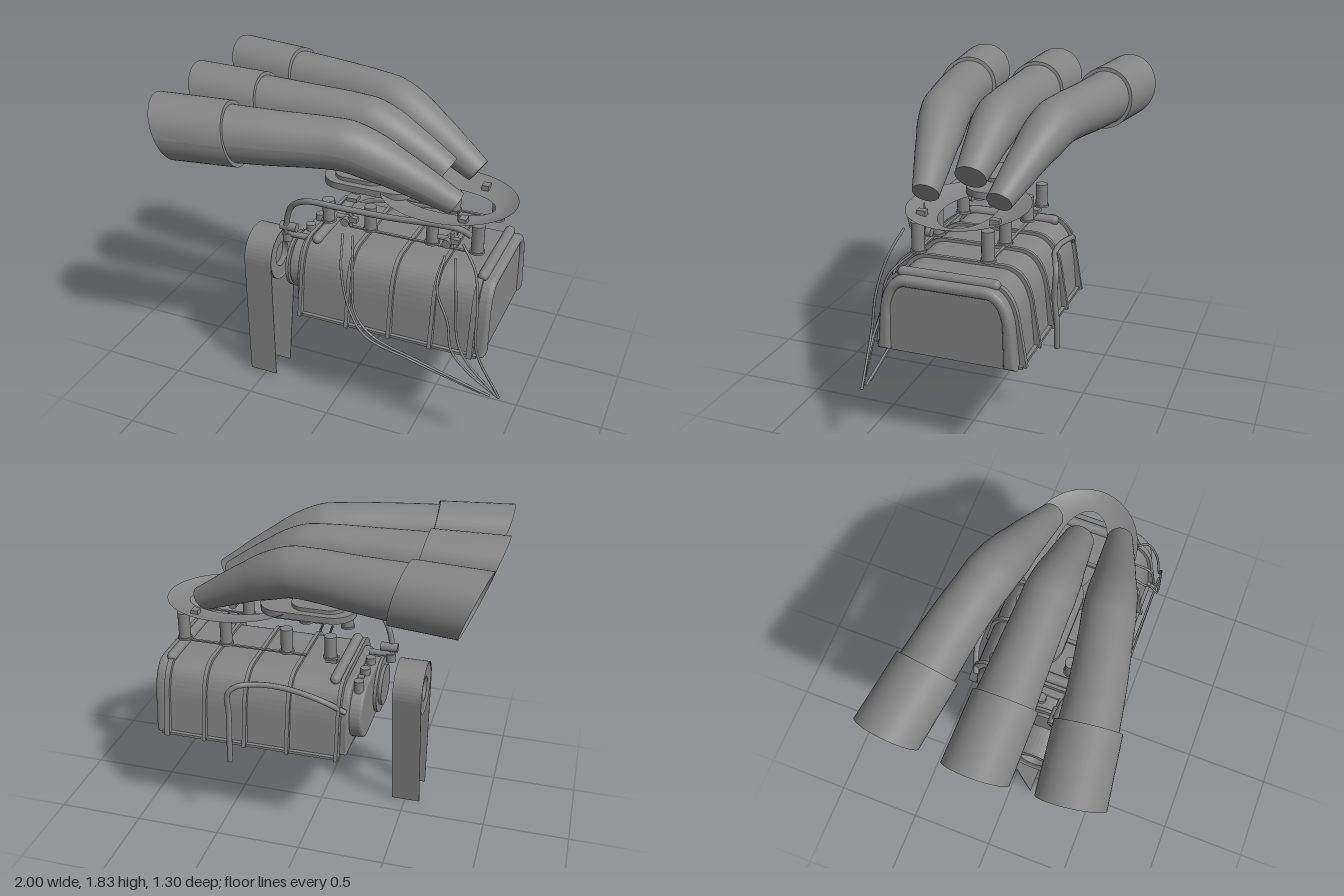
import * as THREE from 'three';

const mat = new THREE.MeshStandardMaterial({ color: 0x848484, side: THREE.DoubleSide });
const V = (x, y, z) => new THREE.Vector3(x, y, z);

export function createModel() {
  const root = new THREE.Group();
  const add = (name, geo, x = 0, y = 0, z = 0, parent = root) => {
    const m = new THREE.Mesh(geo, mat);
    m.name = name;
    m.position.set(x, y, z);
    parent.add(m);
    return m;
  };
  const box = (name, w, h, d, x, y, z) => add(name, new THREE.BoxGeometry(w, h, d), x, y, z);
  const cyl = (name, r, h, x, y, z, axis = 'y', sides = 20) => {
    const g = new THREE.CylinderGeometry(r, r, h, sides);
    if (axis === 'x') g.rotateZ(Math.PI / 2);
    if (axis === 'z') g.rotateX(Math.PI / 2);
    return add(name, g, x, y, z);
  };
  const hose = (name, r, pts) => add(name, new THREE.TubeGeometry(
    new THREE.CatmullRomCurve3(pts.map(p => V(...p))), 48, r, 8));

  // Extrude a (z, y) section along x
  const alongX = (shape, x0, x1, bevel = 0) => {
    const g = new THREE.ExtrudeGeometry(shape, {
      depth: x1 - x0 - 2 * bevel, bevelEnabled: bevel > 0, bevelSize: bevel,
      bevelThickness: bevel, bevelOffset: -bevel, bevelSegments: 4, curveSegments: 10,
    });
    return g.rotateY(Math.PI / 2).translate(x0 + bevel, 0, 0);
  };
  // Rounded arch outline from one foot to the other
  const arch = (foot, w, top, r, y0 = 0.58) => {
    const s = new THREE.Path();
    s.moveTo(foot, y0);
    s.lineTo(w, top - r);
    s.quadraticCurveTo(w - 0.025, top, w - r * 0.75, top);
    s.lineTo(-(w - r * 0.75), top);
    s.quadraticCurveTo(-(w - 0.025), top, -w, top - r);
    s.lineTo(-foot, y0);
    return s.getPoints(12);
  };
  const archBand = (outer, inner) => new THREE.Shape([...outer, ...inner.reverse()]);

  // Blower case: hollow shell, open underneath
  const shellOuter = () => arch(0.385, 0.365, 1.005, 0.22);
  const shellInner = () => arch(0.365, 0.345, 0.985, 0.21);
  const rib = () => archBand(arch(0.42, 0.382, 1.022, 0.225), shellInner());
  add('blowerCase', alongX(archBand(shellOuter(), shellInner()), -0.2, 0.85));
  for (const x of [0.09, 0.34, 0.58]) add('caseRib', alongX(rib(), x - 0.011, x + 0.011));
  add('frontRib', alongX(rib(), -0.205, -0.185));
  add('rearRib', alongX(rib(), 0.79, 0.82));
  for (const x of [-0.15, 0.81])
    add('topBar', new THREE.CapsuleGeometry(0.03, 0.5, 4, 10).rotateX(Math.PI / 2), x, 1.01, 0);
  for (const s of [-1, 1]) box('baseFlange', 1.04, 0.016, 0.04, 0.32, 0.588, s * 0.385);

  // Rear end cover with recessed panel
  add('endFrame', alongX(archBand(arch(0.385, 0.365, 1.008, 0.21), arch(0.312, 0.305, 0.95, 0.12)), 0.8, 0.885, 0.025));
  add('endPanel', alongX(new THREE.Shape(arch(0.32, 0.315, 0.96, 0.12)), 0.835, 0.865));

  // Front bearing plate and gear cover
  add('bearingPlate', alongX(new THREE.Shape(arch(0.34, 0.34, 0.98, 0.19)), -0.24, -0.19, 0.01));
  const cover = new THREE.Shape();
  cover.moveTo(-0.12, 0.61);
  cover.lineTo(0.12, 0.61);
  cover.absarc(0.13, 0.78, 0.17, -Math.PI / 2, Math.PI / 2);
  cover.lineTo(-0.13, 0.95);
  cover.absarc(-0.13, 0.78, 0.17, Math.PI / 2, Math.PI * 1.5);
  add('gearCover', alongX(cover, -0.31, -0.23, 0.015));
  const lowerLip = new THREE.Shape();
  lowerLip.moveTo(-0.24, 0.585);
  lowerLip.bezierCurveTo(-0.14, 0.556, 0.14, 0.556, 0.24, 0.585);
  add('lowerLip', alongX(lowerLip, -0.24, -0.19));
  cyl('bearingFlange', 0.165, 0.018, -0.322, 0.785, 0.14, 'x', 36);
  cyl('bearingNose', 0.12, 0.03, -0.335, 0.785, 0.14, 'x', 32);
  for (let i = 0; i < 10; i++) {
    const a = i / 10 * Math.PI * 2;
    cyl('coverBolt', 0.016, 0.05, -0.25, 0.78 + Math.sin(a) * 0.175, Math.cos(a) * 0.285, 'x', 6);
  }
  for (const z of [-0.2, -0.05, 0.08]) cyl('coverPlug', 0.028, 0.07, -0.27, 0.955, z, 'y', 12);

  // Drive pulley
  const px = -0.505, py = 0.79, pz = 0.15;
  const profile = [[0.075, -0.075], [0.14, -0.075], [0.152, -0.082], [0.152, 0.082],
    [0.14, 0.075], [0.075, 0.075], [0.075, -0.075]].map(p => new THREE.Vector2(...p));
  const pulley = new THREE.LatheGeometry(profile, 40).toNonIndexed();
  pulley.computeVertexNormals();
  add('pulley', pulley.rotateZ(Math.PI / 2), px, py, pz);
  cyl('pulleyHub', 0.078, 0.04, px + 0.02, py, pz, 'x', 28);

  // Belt: two hanging strands joined over the pulley
  const R = 0.162, wrap = Math.PI + 0.18, thick = 0.005;
  const belt = r => [[pz + r, 0.02], ...Array.from({ length: 25 }, (_, i) => {
    const a = i / 24 * wrap;
    return [pz + r * Math.cos(a), py + r * Math.sin(a)];
  }), [0.12 + R - r, 0]];
  const loop = [...belt(R), ...belt(R - thick).reverse()].map(([z, y]) => new THREE.Vector2(-z, y));
  add('driveBelt', alongX(new THREE.Shape(loop), px - 0.085, px + 0.085));

  // Swept skin: rings of [x, y, z, radius, upX, upY], yawed by k
  const sweep = (rings, k, cap = false) => {
    const N = 40, pos = [], idx = [];
    for (const [x, y, z, r, ux, uy] of rings)
      for (let j = 0; j <= N; j++) {
        const a = j / N * Math.PI * 2, c = r * Math.cos(a), s = r * Math.sin(a);
        pos.push(x + c * k + s * ux, y + s * uy, z + c);
      }
    for (let i = 0; i < rings.length - 1; i++)
      for (let j = 0; j < N; j++) {
        const a = i * (N + 1) + j, b = a + N + 1;
        idx.push(a, a + 1, b, b, a + 1, b + 1);
      }
    if (cap) {
      const c = pos.length / 3, last = (rings.length - 1) * (N + 1), e = rings[rings.length - 1];
      pos.push(e[0], e[1], e[2]);
      for (let j = 0; j < N; j++) idx.push(last + j, last + j + 1, c);
    }
    const g = new THREE.BufferGeometry();
    g.setAttribute('position', new THREE.Float32BufferAttribute(pos, 3));
    g.setIndex(idx);
    g.computeVertexNormals();
    return g;
  };

  // Three intake stacks: control points [x, y, z, radius, tilt]
  for (const side of [-1, 0, 1]) {
    const k = 0.13 * side;
    const ctrl = side
      ? [[-0.6, 1.655, 0.435, 0.154, -0.2], [-0.3, 1.657, 0.392, 0.144, 0], [-0.06, 1.658, 0.345, 0.138, 0.1],
        [0.08, 1.645, 0.316, 0.137, 0.32], [0.3, 1.55, 0.27, 0.113, 0.54], [0.62, 1.375, 0.2, 0.07, 0.6]]
      : [[-0.6, 1.655, 0, 0.156, -0.2], [-0.3, 1.657, 0, 0.145, 0], [-0.05, 1.658, 0, 0.138, 0.1],
        [0.08, 1.645, 0, 0.137, 0.32], [0.26, 1.572, 0, 0.116, 0.54], [0.5, 1.445, 0, 0.086, 0.6]];
    const path = new THREE.CatmullRomCurve3(ctrl.map(c => V(c[0], c[1], c[2] * side)));
    const rest = new THREE.CatmullRomCurve3(ctrl.map(c => V(c[3], c[4], 0)));
    const rings = Array.from({ length: 31 }, (_, i) => {
      const p = path.getPoint(i / 30), q = rest.getPoint(i / 30);
      return [p.x, p.y, p.z, q.x, Math.sin(q.y), Math.cos(q.y)];
    });
    const stack = new THREE.Group();
    stack.name = side ? (side > 0 ? 'leftStack' : 'rightStack') : 'centreStack';
    root.add(stack);
    add('stackTube', sweep(rings, k), 0, 0, 0, stack);
    add('stackEnd', sweep([rings[30].map((v, i) => i === 3 ? v - 0.001 : v), rings[30]], k, true), 0, 0, 0, stack);
    const x0 = side ? -0.905 : -0.935, x1 = side ? -0.525 : -0.545;
    const mouth = [x0, 1.655, 0.475 * side, 0.174, -0.37, 1], neck = [x1, 1.655, 0.424 * side, 0.171, -0.22, 1];
    const lip = [...neck];
    lip[3] = 0.148;
    add('stackCollar', sweep([mouth, neck], k), 0, 0, 0, stack);
    add('collarStep', sweep([neck, lip], k), 0, 0, 0, stack);
  }

  // Horseshoe scoop tray, dished towards its opening
  const tray = new THREE.RingGeometry(0.5, 1, 64, 6);
  const tp = tray.attributes.position;
  for (let i = 0; i < tp.count; i++) {
    const x = tp.getX(i), y = tp.getY(i), r = Math.hypot(x, y), t = (r - 0.5) * 2;
    tp.setXYZ(i, 0.52 + x / r * (0.26 + 0.12 * t), 1.268 + 0.036 * t * t, -y / r * (0.14 + 0.18 * t));
  }
  tray.computeVertexNormals();
  add('scoopTray', tray);

  // Oval plates between tray and stacks
  const stadium = (x0, x1, r, y, h) => {
    const s = new THREE.Shape();
    s.absarc(x1 - r, 0, r, -Math.PI / 2, Math.PI / 2);
    s.absarc(x0 + r, 0, r, Math.PI / 2, Math.PI * 1.5);
    add('ovalPlate', new THREE.ExtrudeGeometry(s, { depth: h, bevelEnabled: false, curveSegments: 20 })
      .rotateX(-Math.PI / 2), 0, y, 0);
  };
  stadium(-0.2, 0.35, 0.13, 1.275, 0.038);
  stadium(-0.14, 0.17, 0.09, 1.313, 0.022);

  // Throttle posts, shafts and linkage
  for (const s of [-1, 1]) {
    for (const [x, top] of [[-0.105, 1.24], [0.145, 1.25], [0.5, 1.26], [0.75, 1.27]]) {
      cyl('throttlePost', 0.034, top - 1.11, x, (top + 1.11) / 2, s * 0.19);
      cyl('postFoot', 0.041, 0.012, x, 1.112, s * 0.19);
    }
    box('linkBar', 0.7, 0.008, 0.016, 0.38, 1.105, s * 0.2);
    box('trayLug', 0.04, 0.03, 0.05, 0.67, 1.288, s * 0.2);
  }
  for (const x of [0.02, 0.6]) {
    cyl('linkPivot', 0.025, 0.08, x, 1.155, 0.22, 'z', 12);
    cyl('linkArm', 0.014, 0.12, x, 1.17, 0.22, 'x', 10);
    cyl('linkStem', 0.012, 0.09, x + 0.02, 1.165, 0.22, 'y', 8);
    box('linkBlock', 0.05, 0.03, 0.03, x + 0.04, 1.17, 0.23);
  }
  cyl('linkRod', 0.005, 0.14, 0.64, 1.26, 0.2, 'y', 8);
  box('casePlug', 0.065, 0.024, 0.06, -0.105, 1.075, -0.15);

  // Fuel line with its regulator
  hose('fuelLine', 0.017, [[-0.37, 0.94, 0.19], [-0.365, 1.04, 0.2], [-0.32, 1.16, 0.22], [-0.22, 1.23, 0.25],
    [0, 1.245, 0.265], [0.3, 1.25, 0.265], [0.55, 1.268, 0.265], [0.68, 1.262, 0.26], [0.72, 1.22, 0.23]]);
  cyl('regulator', 0.026, 0.1, -0.355, 1.01, 0.19, 'x', 14);
  cyl('fuelFitting', 0.03, 0.05, -0.365, 0.945, 0.19, 'y', 12);
  cyl('fuelOutlet', 0.018, 0.14, -0.3, 0.965, 0.19, 'x', 12);

  // Drain hose down the far side
  hose('drainHose', 0.016, [[-0.23, 0.86, -0.34], [-0.1, 0.94, -0.38], [0.1, 0.98, -0.375], [0.26, 0.985, -0.385],
    [0.37, 0.975, -0.425], [0.412, 0.93, -0.44], [0.412, 0.8, -0.435], [0.41, 0.65, -0.45], [0.41, 0.5, -0.455]]);

  // Loose wires gathering at one point
  const wires = [
    [[0, 1.07, 0.24], [0.06, 0.93, 0.4], [0.12, 0.72, 0.43], [0.22, 0.58, 0.445], [0.5, 0.49, 0.44], [0.89, 0.385, 0.43]],
    [[0.06, 1.07, 0.24], [0.12, 0.93, 0.39], [0.15, 0.7, 0.42], [0.25, 0.585, 0.43], [0.55, 0.49, 0.435], [0.94, 0.38, 0.43]],
    [[0.59, 1.07, 0.24], [0.6, 0.95, 0.38], [0.68, 0.78, 0.42], [0.72, 0.64, 0.46], [0.82, 0.52, 0.455], [0.985, 0.385, 0.43]],
    [[0.65, 1.07, 0.24], [0.71, 0.92, 0.39], [0.74, 0.7, 0.43], [0.8, 0.59, 0.45], [0.99, 0.38, 0.43]],
    [[0.7, 1.2, 0.29], [0.79, 1.08, 0.34], [0.83, 0.88, 0.4], [0.85, 0.65, 0.43], [0.99, 0.385, 0.43]],
  ];
  for (const w of wires) hose('wire', 0.007, w);

  return root;
}
